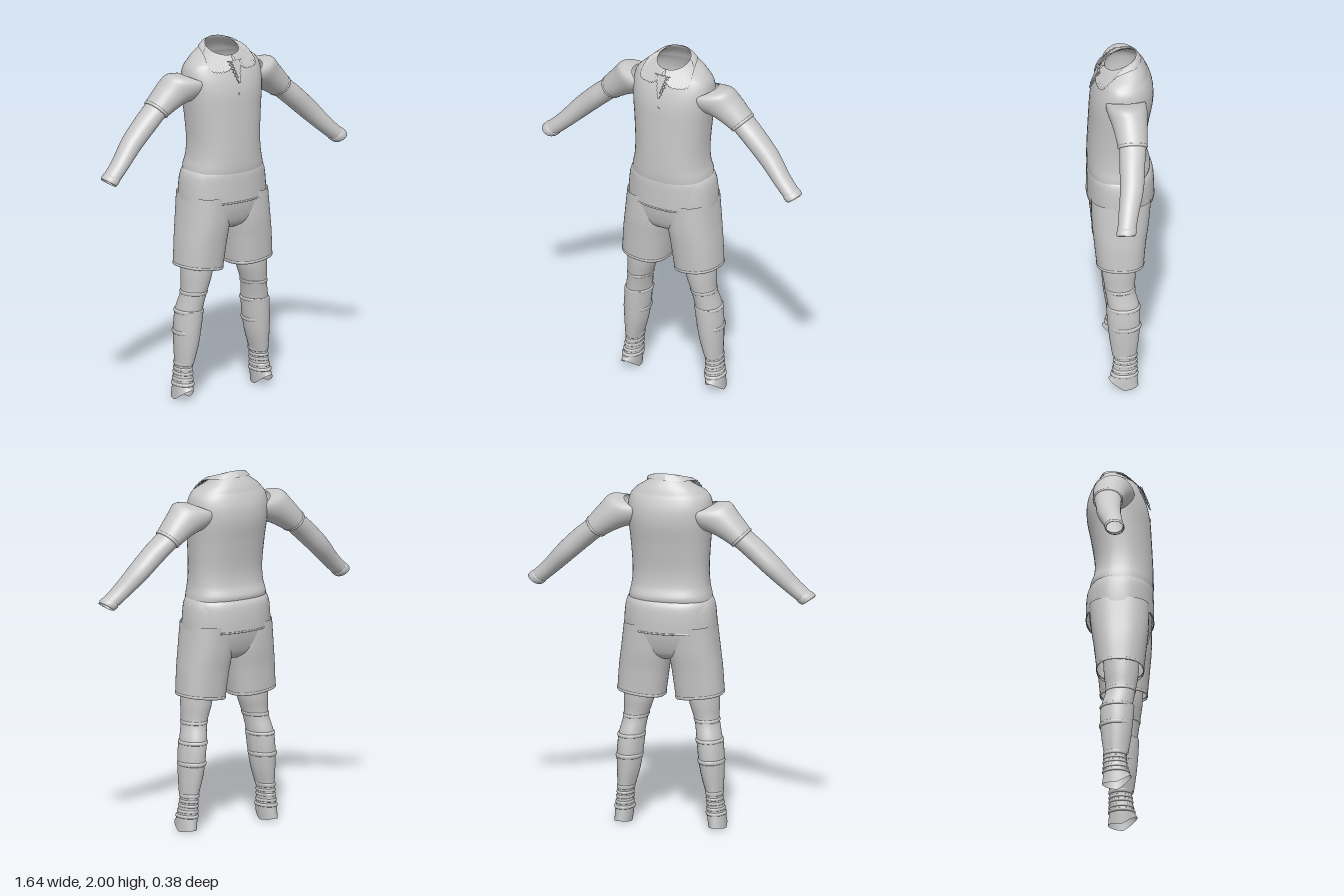
import * as THREE from 'three';

const cloth = new THREE.MeshStandardMaterial({ color: 0xc8c8c8, side: THREE.DoubleSide });
cloth.name = 'light grey cloth';

// Smooth sample of a list of number rows at t in 0..1
function sample(keys, t) {
  const last = keys.length - 1;
  const i = Math.min(Math.floor(t * last), last - 1);
  const f = t * last - i;
  const [a, b, c, d] = [i - 1, i, i + 1, i + 2].map(k => keys[Math.max(0, Math.min(last, k))]);
  return b.map((p1, k) => {
    const m1 = (c[k] - a[k]) / 2, m2 = (d[k] - p1) / 2, g = f * f, h = g * f;
    return (2 * h - 3 * g + 1) * p1 + (h - 2 * g + f) * m1 + (3 * g - 2 * h) * c[k] + (h - g) * m2;
  });
}

// Surface through rows of points
function skin(rows, closed, flip) {
  const n = rows[0].length, pos = [], index = [];
  rows.forEach(r => r.forEach(p => pos.push(...p)));
  for (let i = 0; i < rows.length - 1; i++) {
    for (let j = 0; j < (closed ? n : n - 1); j++) {
      const k = (j + 1) % n;
      const a = i * n + j, b = i * n + k, c = a + n, d = b + n;
      if (flip) index.push(a, c, b, b, c, d);
      else index.push(a, b, c, b, d, c);
    }
  }
  const geo = new THREE.BufferGeometry();
  geo.setAttribute('position', new THREE.Float32BufferAttribute(pos, 3));
  geo.setIndex(index);
  geo.computeVertexNormals();
  return geo;
}

// Section: [x, y, z, side radius, front radius, back radius, tilt]
function ring([x, y, z, r, front, back, tilt = 0], side, power, warp) {
  const pts = [];
  for (let j = 0; j < 48; j++) {
    const a = j / 48 * Math.PI * 2, c = Math.cos(a), s = Math.sin(a);
    const u = r * Math.sign(c) * Math.abs(c) ** (2 / power);
    const w = (s > 0 ? front : back) * Math.sign(s) * Math.abs(s) ** (2 / power);
    const p = [(x + u * Math.cos(tilt)) * side, y + u * Math.sin(tilt), z + w];
    if (warp) p[1] = warp(p);
    pts.push(p);
  }
  return pts;
}

function loft(keys, { side = 1, power = 2, steps = 40, warp } = {}) {
  const rows = [];
  for (let i = 0; i <= steps; i++) rows.push(ring(sample(keys, i / steps), side, power, warp));
  const down = keys[0][1] > keys[keys.length - 1][1];
  return skin(rows, true, (side > 0) !== down);
}

// Raised band or fold around a loft
function band(keys, t, width, grow, options) {
  const rows = [[-1, -0.003], [-0.6, grow], [0.6, grow], [1, -0.003]].map(([k, g]) => {
    const s = sample(keys, Math.max(0, Math.min(1, t + k * width)));
    return [s[0], s[1], s[2], s[3] + g, s[4] + g, s[5] + g, s[6]];
  });
  return loft(rows, { ...options, steps: 9 });
}

const row = ([y, r, f, b]) => [0, y, 0, r, f, b, 0];

const shirtKeys = [
  [1.275, 0.232, 0.183, 0.152], [1.31, 0.228, 0.186, 0.161], [1.37, 0.216, 0.186, 0.14],
  [1.46, 0.212, 0.183, 0.136], [1.6, 0.221, 0.176, 0.156], [1.72, 0.233, 0.168, 0.178],
  [1.8, 0.236, 0.15, 0.178], [1.86, 0.224, 0.125, 0.162], [1.9, 0.19, 0.108, 0.142],
  [1.93, 0.14, 0.095, 0.115], [1.95, 0.105, 0.088, 0.094], [1.965, 0.092, 0.085, 0.085],
].map(row);
const tailKeys = [
  [1.11, 0.247, 0.187, 0.183], [1.2, 0.245, 0.187, 0.183],
  [1.27, 0.238, 0.185, 0.172], [1.31, 0.215, 0.176, 0.135],
].map(row);
const pelvisKeys = [
  [0.95, 0.1, 0.09, 0.08], [0.99, 0.24, 0.145, 0.125], [1.1, 0.257, 0.176, 0.162],
  [1.22, 0.252, 0.176, 0.168], [1.28, 0.238, 0.17, 0.15], [1.31, 0.21, 0.15, 0.13],
].map(row);
const shortsKeys = [
  [0.167, 0.738, 0, 0.132, 0.142, 0.116, 0.12], [0.152, 0.88, 0, 0.136, 0.156, 0.13, 0.05],
  [0.136, 1.0, 0, 0.137, 0.167, 0.147, 0], [0.128, 1.15, 0, 0.126, 0.17, 0.16, 0],
];
const armKeys = [
  [0.16, 1.79, -0.01, 0.11, 0.1, 0.11, 0.45], [0.235, 1.775, -0.015, 0.118, 0.1, 0.112, 0.6],
  [0.32, 1.734, -0.03, 0.087, 0.09, 0.092, 0.75], [0.41, 1.664, -0.037, 0.062, 0.074, 0.078, 0.8],
  [0.5, 1.588, -0.03, 0.06, 0.069, 0.071, 0.82], [0.6, 1.494, -0.02, 0.056, 0.063, 0.067, 0.85],
  [0.7, 1.392, 0.004, 0.046, 0.055, 0.055, 0.8], [0.785, 1.316, 0.022, 0.043, 0.05, 0.05, 0.6],
];
const legKeys = [
  [0.269, 0.012, 0, 0.048, 0.083, 0.08, 0], [0.262, 0.08, 0, 0.05, 0.066, 0.074, 0],
  [0.257, 0.14, -0.005, 0.045, 0.06, 0.068, 0], [0.252, 0.2, -0.008, 0.045, 0.06, 0.064, 0],
  [0.24, 0.3, -0.005, 0.061, 0.072, 0.08, 0], [0.232, 0.4, -0.003, 0.069, 0.08, 0.09, 0],
  [0.222, 0.5, 0, 0.07, 0.084, 0.088, 0], [0.203, 0.6, 0.017, 0.068, 0.082, 0.082, 0],
  [0.187, 0.7, 0.02, 0.083, 0.094, 0.094, 0], [0.18, 0.8, 0.02, 0.085, 0.1, 0.1, 0],
];
// Shin guards: fuller in front, tucked into the stocking behind
const guardKeys = legKeys.slice(3, 7).map(([x, y, z, r, f, b]) => [x, y, z, r + 0.003, f + 0.01, b - 0.012, 0]);

export function createModel() {
  const model = new THREE.Group();
  model.name = 'outfit';
  const add = (name, geo, parent = model) => {
    const mesh = new THREE.Mesh(geo, cloth);
    mesh.name = name;
    parent.add(mesh);
    return mesh;
  };

  // Shirt: the neckline dips toward the front
  const neckline = ([, y, z]) => y > 1.89 ? y - (y - 1.89) / 0.075 * z * 0.41 : y;
  add('shirtBody', loft(shirtKeys, { power: 2.3, steps: 70, warp: neckline }));
  add('shirtTail', loft(tailKeys, { power: 2.3 }));
  add('tailHem', band(tailKeys, 0.03, 0.03, 0.002, { power: 2.3 }));
  add('shortsSeat', loft(pelvisKeys, { power: 2.4 }));

  for (const side of [1, -1]) {
    const name = side > 0 ? 'left' : 'right';

    // Short sleeve over a long sleeve
    const arm = new THREE.Group();
    arm.name = name + 'Arm';
    model.add(arm);
    add('longSleeve', loft(armKeys, { side, steps: 60 }), arm);
    const sleeve = [0, 0.15, 0.3, 0.445].map(t => {
      const s = sample(armKeys, t);
      return [s[0], s[1], s[2], s[3] + 0.005, s[4] + 0.005, s[5] + 0.005, s[6]];
    });
    add('shortSleeve', loft(sleeve, { side, steps: 24 }), arm);
    add('sleeveHem', band(armKeys, 0.438, 0.012, 0.007, { side }), arm);
    add('wristCuff', band(armKeys, 0.965, 0.03, 0.003, { side }), arm);

    // Shorts leg and stocking
    const leg = new THREE.Group();
    leg.name = name + 'Leg';
    model.add(leg);
    add('shortsLeg', loft(shortsKeys, { side, power: 2.35 }), leg);
    add('shortsHem', band(shortsKeys, 0.03, 0.03, 0.002, { side, power: 2.35 }), leg);
    const ankle = ([x, y, z]) => y < 0.08 ? y + (0.08 - y) / 0.068 * (Math.max(z, 0) * 0.55 - 0.012 * Math.cos(z * 18)) : y;
    add('stocking', loft(legKeys, { side, steps: 60, warp: ankle }), leg);
    add('shinGuard', loft(guardKeys, { side }), leg);
    add('guardTop', band(legKeys, 0.66, 0.012, 0.006, { side }), leg);
    add('guardStrap', band(legKeys, 0.53, 0.015, 0.006, { side }), leg);
    add('kneeBand', band(legKeys, 0.78, 0.012, 0.003, { side }), leg);
    for (const t of [0.12, 0.17, 0.23, 0.28, 0.33]) {
      add('ankleFold', band(legKeys, t, 0.018, t < 0.15 ? 0.006 : 0.004, { side }), leg);
    }
  }

  // Turned-down collar with pointed wings and a ragged lace edge
  const edge = [
    [0.012, 1.89, 0.125], [0.06, 1.852, 0.14], [0.152, 1.862, 0.108],
    [0.142, 1.942, 0.02], [0.1, 1.963, -0.08], [0, 1.968, -0.118],
  ];
  for (const side of [1, -1]) {
    const rows = [[], [], []];
    for (let i = 0; i <= 50; i++) {
      const t = i / 50, a = Math.PI * (0.5 - t);
      const inner = [0.094 * Math.cos(a), 1.965 - 0.035 * Math.sin(a), 0.087 * Math.sin(a)];
      const outer = sample(edge, t);
      if (t < 0.6) outer[1] += (i % 2) * 0.008;
      rows[0].push([inner[0] * side, inner[1], inner[2]]);
      rows[1].push(inner.map((v, k) => ((v + outer[k]) / 2 + (k === 1 ? 0.008 : 0)) * (k ? 1 : side)));
      rows[2].push([outer[0] * side, outer[1], outer[2]]);
    }
    add(side > 0 ? 'leftCollar' : 'rightCollar', skin(rows, false, side < 0));
  }

  // Lace frill below the collar, in two ragged layers
  for (const [k, width, length] of [[0, 0.045, 0.13], [1, 0.03, 0.1]]) {
    const shape = new THREE.Shape();
    const half = i => (width * (1 - i / 12) + 0.006) * (i % 2 ? 0.6 : 1);
    shape.moveTo(-half(0), 0);
    for (let i = 1; i <= 12; i++) shape.lineTo(-half(i), -length * i / 12);
    for (let i = 12; i >= 0; i--) shape.lineTo(half(i), -length * i / 12);
    const frill = add('laceFrill', new THREE.ExtrudeGeometry(shape, { depth: 0.006, bevelEnabled: false }));
    frill.position.set(0, 1.905, 0.115 + k * 0.006);
    frill.rotation.x = -0.4;
  }

  // Front button
  const button = add('button', new THREE.CylinderGeometry(0.007, 0.007, 0.008, 16));
  button.rotation.x = Math.PI / 2 - 0.1;
  button.position.set(0, 1.725, 0.168);

  return model;
}
